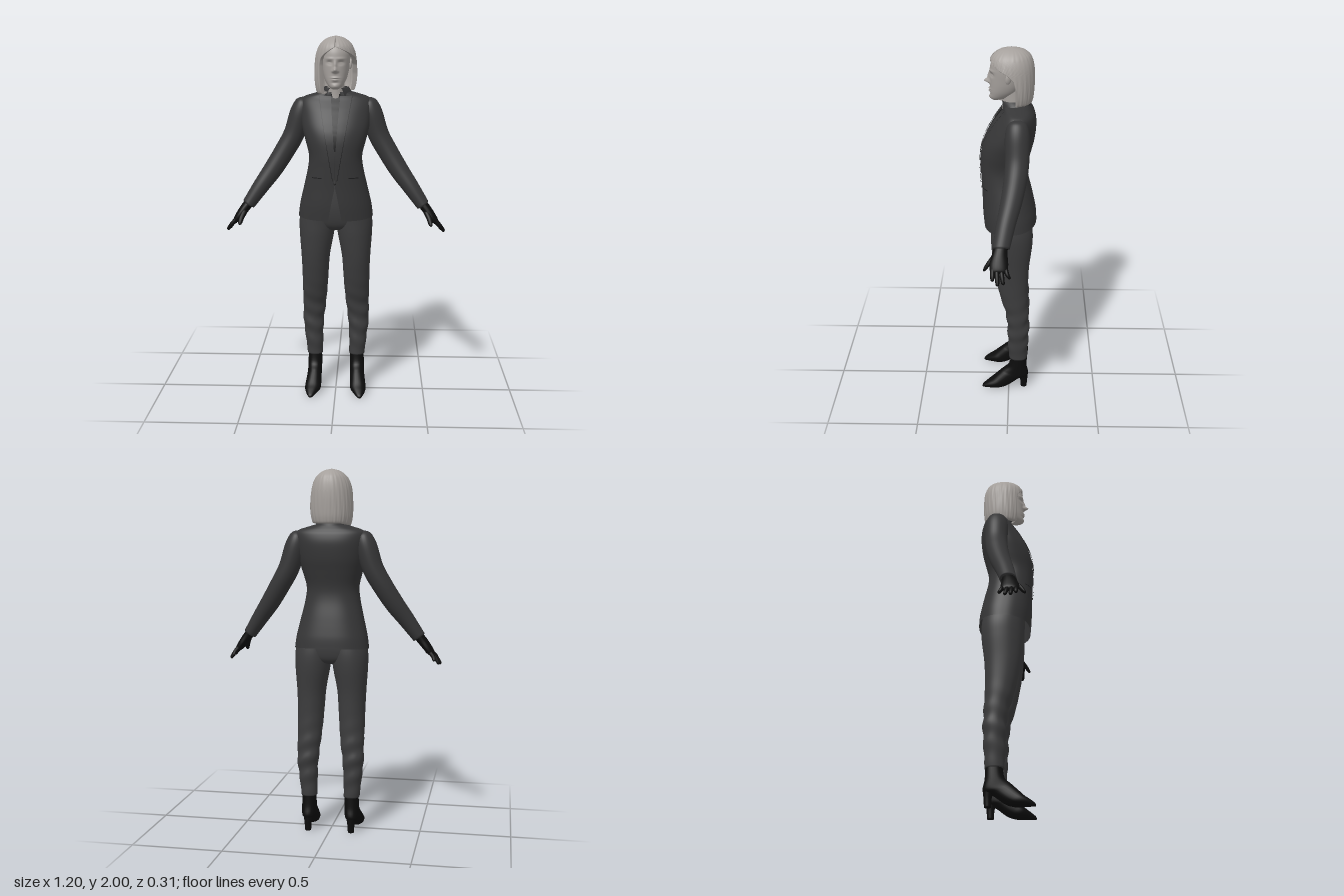
import * as THREE from 'three';

const mat = (name, color, side = THREE.FrontSide) => {
  const m = new THREE.MeshStandardMaterial({ color, side });
  m.name = name;
  return m;
};
const M = {
  pale: mat('pale grey', 0xa5a09c, THREE.DoubleSide),
  jacket: mat('charcoal wool', 0x363637, THREE.DoubleSide),
  trousers: mat('dark grey wool', 0x3c3c3d, THREE.DoubleSide),
  seam: mat('seam black', 0x1c1c1d, THREE.DoubleSide),
  black: mat('black leather', 0x0c0c0c),
};

const add = (parent, name, geo, material) => {
  const m = new THREE.Mesh(geo, material);
  m.name = name;
  parent.add(m);
  return m;
};

// smooth interpolation of a table of section rows at t in 0..1
function sample(rows, t) {
  const f = t * (rows.length - 1), i = Math.min(Math.floor(f), rows.length - 2), k = f - i;
  const r = j => rows[Math.max(0, Math.min(rows.length - 1, j))];
  return rows[i].map((b, c) => {
    const a = r(i - 1)[c], d = r(i + 1)[c], e = r(i + 2)[c];
    return b + 0.5 * k * (d - a + k * (2 * a - 5 * b + 4 * d - e + k * (3 * (b - d) + e - a)));
  });
}

// skin a list of rings; closed rings wrap round and may be capped
function skin(rings, closed = true, capped = closed) {
  const n = rings[0].length, pos = [], idx = [];
  const mid = new THREE.Vector3();
  rings.forEach(r => r.forEach(p => { pos.push(...p); mid.add(new THREE.Vector3(...p)); }));
  mid.divideScalar(rings.length * n);
  for (let j = 0; j < rings.length - 1; j++)
    for (let i = 0; i < (closed ? n : n - 1); i++) {
      const a = j * n + i, b = j * n + (i + 1) % n, c = a + n, d = b + n;
      idx.push(a, b, c, b, d, c);
    }
  if (capped) [0, rings.length - 1].forEach((j, end) => {
    const c = [0, 1, 2].map(k => rings[j].reduce((s, p) => s + p[k], 0) / n);
    const k = pos.length / 3;
    pos.push(...c);
    for (let i = 0; i < n; i++) {
      const a = j * n + i, b = j * n + (i + 1) % n;
      idx.push(...(end ? [a, b, k] : [b, a, k]));
    }
  });
  // turn faces outward
  const v = i => new THREE.Vector3().fromArray(pos, i * 3).sub(mid);
  let vol = 0;
  for (let i = 0; i < idx.length; i += 3) vol += v(idx[i]).dot(v(idx[i + 1]).cross(v(idx[i + 2])));
  if (vol < 0) idx.reverse();
  const g = new THREE.BufferGeometry();
  g.setAttribute('position', new THREE.Float32BufferAttribute(pos, 3));
  g.setIndex(idx);
  g.computeVertexNormals();
  return g;
}

// superellipse point of a row [y, cx, rx, zFront, zBack]; angle 0 faces front
const spow = (v, e) => Math.sign(v) * Math.abs(v) ** e;
const onRow = ([y, cx, rx, zf, zb], a, p) => [
  cx + rx * spow(Math.sin(a), 2 / p), y, (zf + zb) / 2 + (zf - zb) / 2 * spow(Math.cos(a), 2 / p)];

function loft(rows, { n = 40, m = 40, p = 2, warp = q => q } = {}) {
  const rings = [];
  for (let j = 0; j <= m; j++) {
    const row = sample(rows, j / m), ring = [];
    for (let i = 0; i < n; i++) ring.push(warp(onRow(row, i / n * Math.PI * 2, p)));
    rings.push(ring);
  }
  return skin(rings);
}

// limb along points [x, y, z, radius across, radius in z]
function limb(pts, n = 20, m = 28) {
  const rings = [];
  for (let j = 0; j <= m; j++) {
    const t = j / m, c = sample(pts, t);
    const a = sample(pts, Math.max(0, t - 0.02)), b = sample(pts, Math.min(1, t + 0.02));
    const l = Math.hypot(b[0] - a[0], b[1] - a[1]) || 1;
    const px = -(b[1] - a[1]) / l, py = (b[0] - a[0]) / l;
    rings.push(Array.from({ length: n }, (_, i) => {
      const w = i / n * Math.PI * 2, u = Math.cos(w) * c[3];
      return [c[0] + px * u, c[1] + py * u, c[2] + Math.sin(w) * c[4]];
    }));
  }
  return skin(rings);
}

const gauss = (x, y, cx, cy, sx, sy) => Math.exp(-(((x - cx) / sx) ** 2) - ((y - cy) / sy) ** 2);

const JACKET = [
  [1.025, 0, .205, .135, -.15], [1.1, 0, .195, .142, -.145], [1.2, 0, .172, .145, -.125],
  [1.3, 0, .15, .15, -.102], [1.37, 0, .145, .153, -.1], [1.45, 0, .165, .148, -.118],
  [1.52, 0, .182, .128, -.135], [1.6, 0, .19, .085, -.143], [1.65, 0, .192, .05, -.135],
  [1.675, 0, .175, .032, -.122], [1.692, 0, .125, .03, -.11], [1.705, 0, .08, .03, -.1]];
const JP = 2.35;
const DENSE = Array.from({ length: 201 }, (_, i) => sample(JACKET, i / 200));

// depth of the jacket front at x, y
function front(x, y) {
  const r = DENSE.reduce((a, b) => Math.abs(b[0] - y) < Math.abs(a[0] - y) ? b : a);
  const k = Math.max(0, 1 - Math.min(1, Math.abs(x) / r[2]) ** JP) ** (1 / JP);
  return (r[3] + r[4]) / 2 + (r[3] - r[4]) / 2 * k;
}
// thin plate lying on the jacket front between two edges
function plate(y0, y1, xa, xb, off, m = 30) {
  const rows = [];
  for (let j = 0; j <= m; j++) {
    const v = j / m, y = y0 + (y1 - y0) * v;
    rows.push([0, 1, 2, 3, 4].map(i => {
      const x = xa(v) + (xb(v) - xa(v)) * i / 4;
      return [x, y, front(x, y) + off];
    }));
  }
  return skin(rows, false);
}

function buildJacket(g) {
  const rings = [], n = 80;
  for (let j = 0; j <= 60; j++) {
    const row = sample(JACKET, j / 60), gap = 0.004 + 0.13 * Math.max(0, 1.2 - row[0]) / 0.175;
    const ring = [];
    for (let i = 0; i <= n; i++) {
      const a = gap + (Math.PI * 2 - 2 * gap) * i / n, q = onRow(row, a, JP);
      q[1] += (-0.012 * Math.cos(a) + 0.004) * Math.max(0, 1 - (row[0] - 1.025) / 0.1);
      ring.push(q);
    }
    rings.push(ring);
  }
  add(g, 'jacket body', skin(rings, false), M.jacket);

  // standing collar, open at the front
  const collar = [[1.685, .098, .04, -.112], [1.71, .08, .043, -.105], [1.728, .07, .045, -.098], [1.722, .064, .038, -.09]]
    .map(([y, rx, zf, zb]) => Array.from({ length: 41 }, (_, i) =>
      onRow([y, 0, rx, zf, zb], 0.5 + (Math.PI * 2 - 1) * i / 40, 2)));
  add(g, 'collar', skin(collar, false), M.jacket);

  // shirt, lapels, edges and pockets
  const inner = v => .003 + .022 * v, outer = v => .01 + .078 * v;
  add(g, 'shirt', plate(1.4, 1.695, v => -.004 - .022 * v, v => .004 + .022 * v, .002), M.seam);
  for (const s of [-1, 1]) {
    add(g, 'lapel', plate(1.24, 1.685, v => s * inner(v), v => s * outer(v), .006), M.jacket);
    add(g, 'lapel edge', plate(1.24, 1.685, v => s * outer(v), v => s * (outer(v) + .003), .0055), M.seam);
    add(g, 'pocket', plate(1.252, 1.257, () => s * .07, () => s * .125, .003, 2), M.seam);
  }
  const button = add(g, 'button', new THREE.SphereGeometry(.006, 12, 8), M.seam);
  button.position.set(0, 1.225, front(0, 1.225));
}

function buildHead(g) {
  const head = [
    [1.722, 0, .012, .085, .06], [1.735, 0, .034, .099, .01], [1.765, 0, .054, .101, -.04],
    [1.8, 0, .066, .1, -.07], [1.84, 0, .073, .1, -.09], [1.88, 0, .077, .1, -.1],
    [1.92, 0, .076, .094, -.1], [1.955, 0, .062, .072, -.09], [1.98, 0, .03, .03, -.05]];
  const face = ([x, y, z]) => {
    if (z > 0.02) {
      const ax = Math.abs(x);
      z += .027 * gauss(x, y, 0, 1.825, .011, .012) + .012 * gauss(x, y, 0, 1.85, .009, .022)
        + .006 * gauss(ax, y, .013, 1.819, .007, .007)
        - .011 * gauss(ax, y, .03, 1.862, .016, .01) + .005 * gauss(ax, y, .03, 1.86, .011, .005)
        + .004 * gauss(ax, y, .03, 1.884, .024, .007)
        + .007 * gauss(x, y, 0, 1.785, .02, .004) + .007 * gauss(x, y, 0, 1.773, .016, .004)
        - .004 * gauss(x, y, 0, 1.758, .02, .006) + .004 * gauss(x, y, 0, 1.74, .016, .01);
    }
    return [x, y, z];
  };
  add(g, 'head', loft(head, { n: 120, m: 110, p: 2.1, warp: face }), M.pale);
  add(g, 'neck', loft([[1.66, 0, .056, .037, -.085], [1.7, 0, .048, .036, -.08], [1.79, 0, .046, .04, -.075]], { m: 10 }), M.pale);
  const ear = add(g, 'ear', new THREE.SphereGeometry(1, 16, 12), M.pale);
  ear.scale.set(.009, .028, .016);
  ear.position.set(.077, 1.853, .003);
  ear.rotation.set(-.15, .3, 0);

  // bob haircut: tucked behind the left ear, falling forward on the right
  const hair = [
    [1.72, 0, .07, .06, -.085], [1.711, 0, .098, .085, -.113], [1.74, 0, .11, .097, -.125],
    [1.79, 0, .115, .102, -.13], [1.85, 0, .113, .104, -.132], [1.9, 0, .107, .104, -.129],
    [1.94, 0, .094, .098, -.12], [1.968, 0, .074, .078, -.104], [1.99, 0, .042, .044, -.07], [2, 0, .004, -.008, -.016]];
  const gaps = [[1.7, 1.8, .78], [1.8, 1.75, .8], [1.85, 1.62, .82], [1.88, 1.4, .78], [1.905, .95, .6], [1.93, .4, .25], [1.945, .01, .01], [2.1, .01, .01]];
  const gapAt = (y, c) => {
    const i = Math.max(1, gaps.findIndex(q => q[0] > y)), a = gaps[i - 1], b = gaps[i];
    return a[c] + (b[c] - a[c]) * (y - a[0]) / (b[0] - a[0]);
  };
  const rings = [], n = 120;
  for (let j = 0; j <= 70; j++) {
    const row = sample(hair, j / 70), l = gapAt(row[0], 1), r = gapAt(row[0], 2), ring = [];
    for (let i = -1; i <= n + 1; i++) {
      const a = l + (Math.PI * 2 - l - r) * Math.max(0, Math.min(n, i)) / n;
      const edge = i < 0 || i > n ? .78 : 1; // edges turn in towards the face
      const k = edge * (1 + .008 * Math.sin(a * 26 + row[0] * 14) + .005 * Math.sin(a * 43 - row[0] * 20));
      const q = onRow(row, a, 2.1), cz = (row[3] + row[4]) / 2;
      const low = Math.max(0, 1 - (row[0] - 1.711) / .1) * Math.max(0, Math.cos(a - 5.3));
      ring.push([q[0] * k, q[1] - .014 * low, cz + (q[2] - cz) * k]);
    }
    rings.push(ring);
  }
  add(g, 'hair', skin(rings, false), M.pale);
}

// one arm, leg and shoe for the left side; the right side is mirrored
function buildSide(g, s) {
  const mx = rows => rows.map(([x, ...r]) => [s * x, ...r]);
  const mc = rows => rows.map(([y, x, ...r]) => [y, s * x, ...r]);
  add(g, 'sleeve', limb(mx([
    [.172, 1.668, -.045, .012, .02], [.18, 1.645, -.045, .042, .05], [.195, 1.585, -.045, .058, .064],
    [.232, 1.47, -.045, .057, .062], [.285, 1.375, -.035, .055, .06], [.345, 1.28, -.015, .052, .056],
    [.41, 1.19, .01, .045, .05], [.478, 1.093, .032, .036, .044]]), 32, 50), M.jacket);

  // gloved hand
  add(g, 'glove', limb(mx([
    [.462, 1.115, .03, .026, .034], [.495, 1.075, .038, .026, .039], [.525, 1.035, .042, .023, .047],
    [.548, 1.005, .042, .017, .045], [.556, .994, .042, .007, .038]])), M.black);
  [[.074, .582, .964, .074], [.053, .597, .947, .048], [.031, .59, .95, .02], [.01, .568, .97, -.01]].forEach(([z, x, y, z1]) =>
    add(g, 'finger', limb(mx([[.535, 1.02, z, .012, .012], [(.54 + x) / 2 + .004, (1.015 + y) / 2, (z + z1) / 2, .0115, .0115],
      [x - .004, y + .005, z1, .009, .009], [x, y, z1, .003, .003]]), 12, 12), M.black));
  add(g, 'thumb', limb(mx([[.492, 1.065, .06, .015, .018], [.51, 1.03, .092, .014, .014],
    [.519, 1, .112, .011, .01], [.521, .99, .117, .004, .004]]), 12, 12), M.black);

  // trouser leg with soft folds below the knee
  const folds = ([x, y, z]) => {
    const f = .004 * Math.sin(y * 62 + x * 25 + z * 20) * Math.exp(-(((y - .4) / .16) ** 2));
    return [x + f * .5 * Math.sign(x - s * .122), y, z + f * Math.sign(z + .055) * Math.min(1, Math.abs(z + .055) * 25)];
  };
  add(g, 'trouser leg', loft(mc([
    [1.08, .1, .09, .1, -.12], [1, .102, .1, .098, -.13], [.92, .106, .095, .096, -.128],
    [.8, .113, .08, .085, -.113], [.7, .115, .074, .068, -.108], [.6, .118, .07, .045, -.108],
    [.5, .122, .064, .016, -.113], [.4, .128, .058, .006, -.115], [.3, .125, .05, .003, -.11],
    [.2, .12, .044, -.003, -.104]]), { m: 80, p: 2.15, warp: folds }), M.trousers);

  // pointed ankle boot: rows are front y, z, back y, z, half width, x
  const boot = [
    [.215, -.014, .215, -.1, .038, .12], [.15, -.002, .14, -.104, .04, .121], [.12, .03, .08, -.112, .04, .122],
    [.104, .047, .06, -.062, .041, .123], [.08, .072, .016, 0, .044, .126], [.056, .097, .001, .05, .044, .129],
    [.038, .122, 0, .1, .032, .134], [.018, .148, 0, .146, .014, .138], [.008, .154, 0, .153, .005, .139]];
  const rings = [];
  for (let j = 0; j <= 40; j++) {
    const [fy, fz, by, bz, w, x] = sample(boot, j / 40);
    rings.push(Array.from({ length: 28 }, (_, i) => {
      const a = i / 28 * Math.PI * 2, k = spow(Math.cos(a), .85) / 2;
      return [s * (x + w * spow(Math.sin(a), .85)), Math.max(0, (fy + by) / 2 + (fy - by) * k), (fz + bz) / 2 + (fz - bz) * k];
    }));
  }
  add(g, 'boot', skin(rings), M.black);
  add(g, 'heel', loft(mc([[.1, .122, .03, -.05, -.111], [.05, .122, .021, -.066, -.109], [0, .122, .017, -.07, -.105]]), { n: 20, m: 10 }), M.black);
}

export function createModel() {
  const model = new THREE.Group();
  model.name = 'woman in suit';
  const part = (name, build, ...args) => {
    const g = new THREE.Group();
    g.name = name;
    build(g, ...args);
    model.add(g);
  };
  part('head group', buildHead);
  part('jacket group', buildJacket);
  add(model, 'trouser seat', loft([
    [1.2, 0, .15, .1, -.1], [1.08, 0, .185, .105, -.125], [1.0, 0, .19, .094, -.122],
    [.96, 0, .12, .07, -.1], [.945, 0, .05, .03, -.06]], { p: 2.3 }), M.trousers);
  part('left limbs', buildSide, 1);
  part('right limbs', buildSide, -1);
  return model;
}
